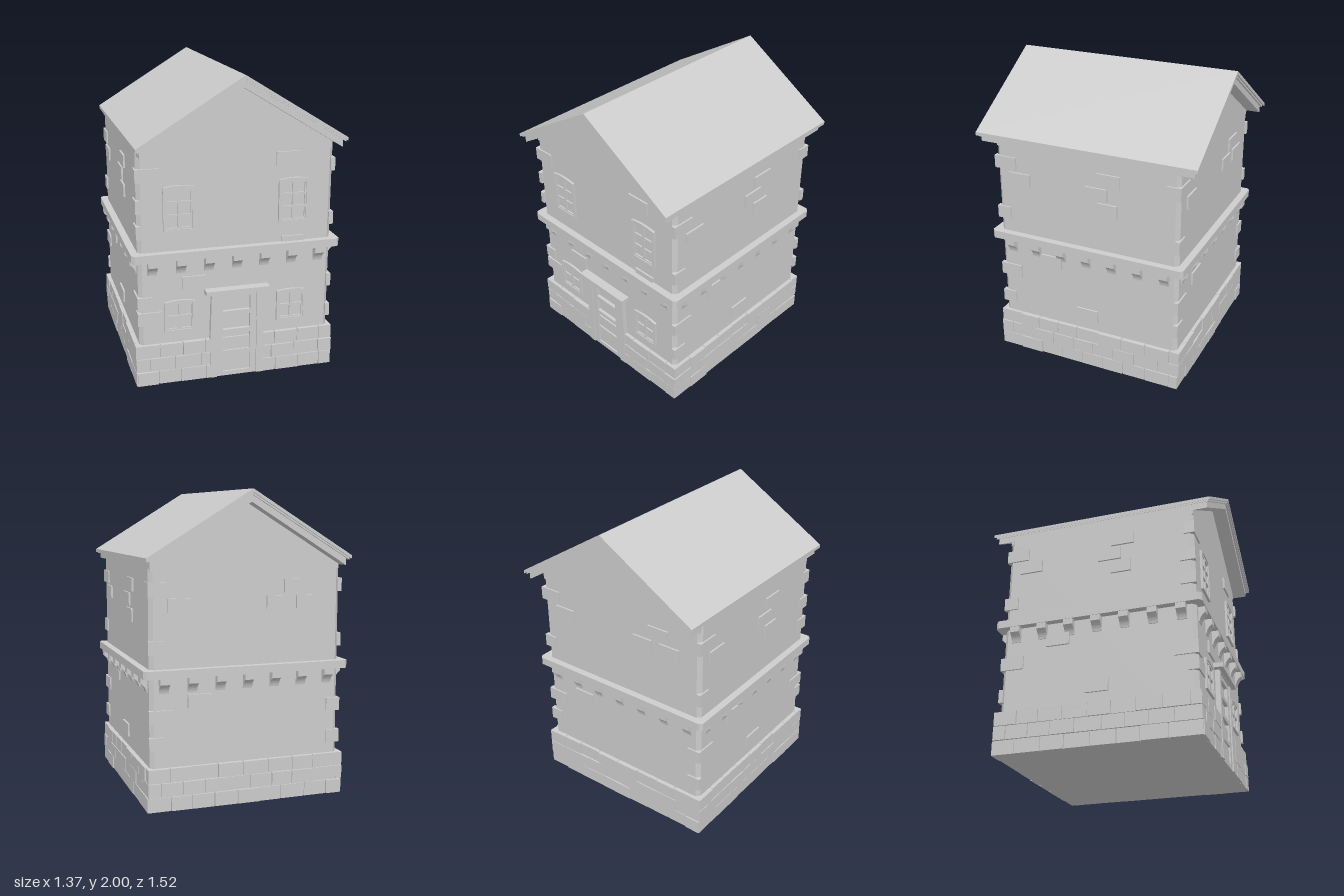
import * as THREE from 'three';

export function createModel() {
  const root = new THREE.Group();
  const stone = new THREE.MeshStandardMaterial({ color: 0xcccccc });
  stone.name = 'pale stone';

  const add = (name, geo, parent = root) => {
    const m = new THREE.Mesh(geo, stone);
    m.name = name;
    parent.add(m);
    return m;
  };
  // box given by its min and max corners
  const box = (name, x0, x1, y0, y1, z0, z1, parent) =>
    add(name, new THREE.BoxGeometry(x1 - x0, y1 - y0, z1 - z0)
      .translate((x0 + x1) / 2, (y0 + y1) / 2, (z0 + z1) / 2), parent);
  const shapeOf = pts => new THREE.Shape(pts.map(p => new THREE.Vector2(p[0], p[1])));
  const extrude = (shape, depth, curveSegments = 4) =>
    new THREE.ExtrudeGeometry(shape, { depth, bevelEnabled: false, curveSegments });
  // small repeatable variation
  let seed = 7;
  const rand = () => (seed = (seed * 16807) % 2147483647) / 2147483647;

  // Square plan with chamfered corners, raised from y0 to y1
  const chamferedBlock = (name, r, c, y0, y1) => {
    const plan = shapeOf([[-r + c, -r], [r - c, -r], [r, -r + c], [r, r - c],
      [r - c, r], [-r + c, r], [-r, r - c], [-r, -r + c]]);
    add(name, extrude(plan, y1 - y0).rotateX(-Math.PI / 2).translate(0, y0, 0));
  };
  chamferedBlock('walls', 0.64, 0.025, 0.02, 1.55);
  chamferedBlock('stringCourse', 0.687, 0.02, 0.848, 0.9);
  box('plinthCore', -0.652, 0.652, 0, 0.268, -0.652, 0.652);

  // Gable ends
  add('gable', extrude(shapeOf([[-0.63, 1.5], [0.63, 1.5], [0.63, 1.56], [0.01, 1.95], [-0.63, 1.56]]), 1.28)
    .translate(0, 0, -0.64));

  // Roof: chevron layers running along z
  const slope = 0.612;
  const chevron = (name, half, top, thick, halfDepth) => {
    const eave = top - slope * half;
    add(name, extrude(shapeOf([[0, top], [-half, eave], [-half, eave - thick], [0, top - thick],
      [half, eave - thick], [half, eave]]), 2 * halfDepth).translate(0.012, 0, -halfDepth));
  };
  chevron('roof', 0.672, 2, 0.022, 0.76);
  chevron('roofUnderlay', 0.662, 1.979, 0.014, 0.748);
  chevron('roofTrim', 0.646, 1.966, 0.046, 0.735);

  // One group per side, its outside facing local +z
  const sides = ['front', 'right', 'back', 'left'].map((name, i) => {
    const g = new THREE.Group();
    g.name = name + 'Side';
    g.rotation.y = i * Math.PI / 2;
    root.add(g);
    return g;
  });

  // Corbel with a hollow curved underside, profile in (out, y)
  const corbel = new THREE.Shape();
  corbel.moveTo(0.63, 0.85);
  corbel.lineTo(0.63, 0.75);
  corbel.lineTo(0.645, 0.75);
  corbel.quadraticCurveTo(0.652, 0.79, 0.684, 0.81);
  corbel.lineTo(0.684, 0.85);
  corbel.closePath();
  const corbelGeo = extrude(corbel, 0.062, 6).rotateY(-Math.PI / 2).translate(0.031, 0, 0);

  sides.forEach((side, s) => {
    for (let i = -3; i <= 3; i++) add('corbel', corbelGeo, side).position.x = i * 0.184;

    // Plinth masonry, three staggered courses, leaving room for the door
    for (let row = 0; row < 3; row++) {
      const y0 = row * 0.0925;
      let x = -0.664, first = true;
      while (x < 0.65) {
        const w = first && row % 2 ? 0.085 : 0.14 + rand() * 0.035;
        let x0 = x, x1 = Math.min(x + w, 0.664);
        if (0.664 - x1 < 0.06) x1 = 0.664;
        x = x1;
        first = false;
        if (s === 0) {
          if (x0 > -0.18 && x1 < 0.18) continue;
          if (x0 < -0.18 && x1 > -0.18) x1 = -0.18;
          if (x0 < 0.18 && x1 > 0.18) x0 = 0.18;
        }
        box('plinthBrick', x0 + 0.002, x1 - 0.002, y0 + (row ? 0.002 : 0), y0 + 0.0905,
          0.63, 0.661 + rand() * 0.01, side);
      }
    }
  });

  // Loose bricks standing proud of the plaster: [centre x, centre y, width]
  const flank = [[-0.472, 1.293, 0.155], [0.168, 1.395, 0.155], [0.08, 1.293, 0.155],
    [0.158, 1.193, 0.135], [-0.262, 0.733, 0.155], [0.002, 0.388, 0.155]];
  const bricks = [
    [[0.335, 1.453, 0.16], [0.375, 0.893, 0.155], [-0.283, 0.678, 0.155]],
    flank,
    [[-0.45, 1.293, 0.155], [0.325, 1.395, 0.155], [0.2, 1.293, 0.145], [0.41, 1.293, 0.155], [-0.32, 0.69, 0.155]],
    flank,
  ];
  bricks.forEach((list, s) => list.forEach(([x, y, w]) =>
    box('wallBrick', x - w / 2, x + w / 2, y - 0.043, y + 0.043, 0.63, 0.652, sides[s])));

  // Corner stones: [side x, side z, centre y, length along x, length along z]
  [
    [-1, 1, 1.395, 0.155, 0.07], [-1, 1, 0.56, 0.095, 0.155], [-1, 1, 0.455, 0.155, 0.07],
    [-1, 1, 1.2, 0.03, 0.1], [-1, 1, 1.035, 0.03, 0.1],
    [1, 1, 1.395, 0.03, 0.155], [1, 1, 1.035, 0.03, 0.095], [1, 1, 0.603, 0.03, 0.155],
    [1, 1, 0.388, 0.03, 0.1],
    [1, -1, 1.395, 0.155, 0.095], [1, -1, 1.035, 0.095, 0.03], [1, -1, 0.6, 0.155, 0.03],
    [1, -1, 0.43, 0.095, 0.03],
    [-1, -1, 1.395, 0.03, 0.155], [-1, -1, 1.035, 0.03, 0.095], [-1, -1, 0.603, 0.095, 0.155],
    [-1, -1, 0.388, 0.095, 0.03],
  ].forEach(([sx, sz, y, lx, lz]) => {
    const r = 0.65;
    const span = (sgn, len) => sgn > 0 ? [r - len, r] : [-r, -r + len];
    box('cornerStone', ...span(sx, lx), y - 0.043, y + 0.043, ...span(sz, lz));
  });

  // Arched casement windows: outer surround plus a finer sash with panes cut out
  const arched = (Kind, x0, x1, y0, yl, yr) => {
    const p = new Kind();
    p.moveTo(x0, y0);
    p.lineTo(x1, y0);
    p.lineTo(x1, yr);
    p.quadraticCurveTo((x0 + x1) / 2, Math.max(yl, yr) + (yl === yr ? 0.024 : 0.002), x0, yl);
    p.closePath();
    return p;
  };
  const windowAt = (cx, y0, y1, rows) => {
    const g = new THREE.Group();
    g.name = 'window';
    g.position.set(cx, 0, 0.636);
    sides[0].add(g);
    const surround = arched(THREE.Shape, -0.1, 0.1, y0, y1 - 0.012, y1 - 0.012);
    surround.holes.push(arched(THREE.Path, -0.084, 0.084, y0 + 0.014, y1 - 0.026, y1 - 0.026));
    add('windowSurround', extrude(surround, 0.02, 8), g);
    const sash = arched(THREE.Shape, -0.085, 0.085, y0 + 0.012, y1 - 0.025, y1 - 0.025);
    const pitch = (y1 - y0 - 0.04) / rows;
    for (let r = 0; r < rows; r++) for (const k of [-1, 1]) {
      const a = y0 + 0.024 + r * pitch, b = a + pitch - 0.014;
      const top = r === rows - 1;
      const outer = top ? b - 0.008 : b;
      const [x0, x1] = k < 0 ? [-0.075, -0.009] : [0.009, 0.075];
      sash.holes.push(arched(THREE.Path, x0, x1, a, k < 0 ? outer : b, k < 0 ? b : outer));
    }
    add('windowSash', extrude(sash, 0.014, 6), g);
  };
  for (const cx of [-0.378, 0.374]) {
    windowAt(cx, 1.03, 1.325, 3);
    windowAt(cx, 0.35, 0.568, 2);
  }

  // Doorway: surround, leaf with recessed panels, lintel
  add('doorSurround', extrude(shapeOf([[-0.182, 0], [-0.137, 0], [-0.137, 0.588], [0.132, 0.588],
    [0.132, 0], [0.182, 0], [0.182, 0.27], [0.172, 0.6], [-0.172, 0.6], [-0.182, 0.27]]), 0.05)
    .translate(0, 0, 0.622));
  const leaf = shapeOf([[-0.137, 0], [0.132, 0], [0.132, 0.588], [-0.137, 0.588]]);
  for (const [a, b] of [[0.03, 0.15], [0.18, 0.3], [0.33, 0.43], [0.46, 0.555]]) {
    const hole = new THREE.Path();
    hole.setFromPoints([[-0.095, a], [0.09, a], [0.09, b], [-0.095, b]].map(p => new THREE.Vector2(...p)));
    leaf.holes.push(hole);
  }
  add('doorLeaf', extrude(leaf, 0.025).translate(0, 0, 0.638));
  box('lintel', -0.215, 0.21, 0.592, 0.622, 0.63, 0.703);

  return root;
}
